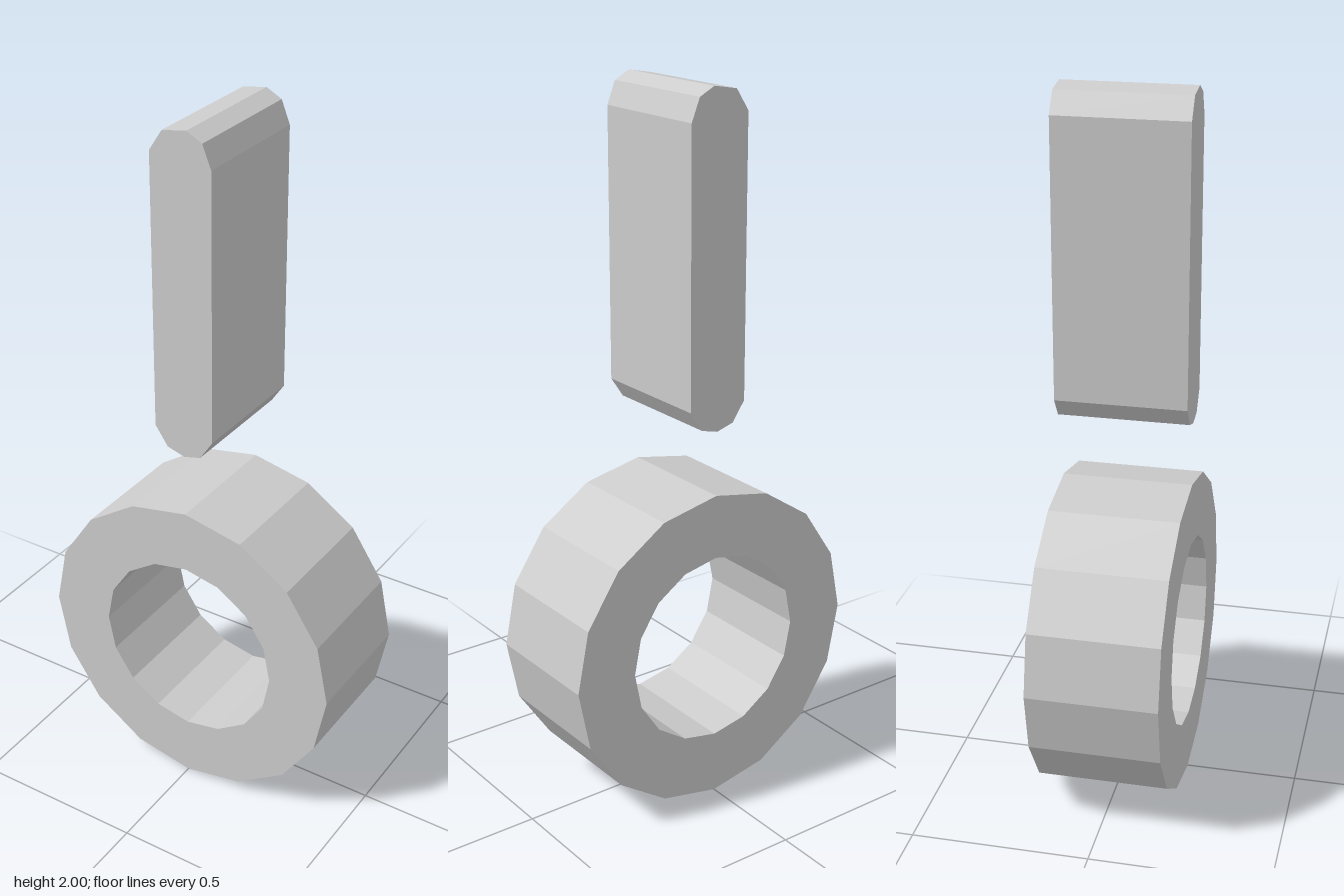
import * as THREE from 'three';

const DEPTH = 0.364;

// Straight extrusion along z, centred on z = 0
function extrude(shape, material, name) {
  const geometry = new THREE.ExtrudeGeometry(shape, { depth: DEPTH, bevelEnabled: false });
  geometry.translate(0, 0, -DEPTH / 2);
  const mesh = new THREE.Mesh(geometry, material);
  mesh.name = name;
  return mesh;
}

// Regular polygon with a corner at the top
function polygon(radius, sides, cy) {
  return Array.from({ length: sides }, (_, i) => {
    const a = Math.PI / 2 + (i / sides) * Math.PI * 2;
    return new THREE.Vector2(radius * Math.cos(a), cy + radius * Math.sin(a));
  });
}

export function createModel() {
  const group = new THREE.Group();
  group.name = 'ringAndBar';
  const grey = new THREE.MeshStandardMaterial({ color: 0xcccccc });
  grey.name = 'light grey';

  // Thick faceted ring at the base
  const ring = new THREE.Shape(polygon(0.455, 16, 0.457));
  ring.holes.push(new THREE.Path(polygon(0.273, 16, 0.457)));
  group.add(extrude(ring, grey, 'ring'));

  // Upright bar floating above, with faceted round ends
  const outline = [
    [-0.09, 1.165], [-0.052, 1.11], [0, 1.095], [0.05, 1.108], [0.088, 1.165],
    [0.088, 1.915], [0.063, 1.977], [0.018, 2.0], [-0.052, 1.988], [-0.09, 1.93],
  ];
  const bar = new THREE.Shape(outline.map(([x, y]) => new THREE.Vector2(x, y)));
  group.add(extrude(bar, grey, 'uprightBar'));

  return group;
}
